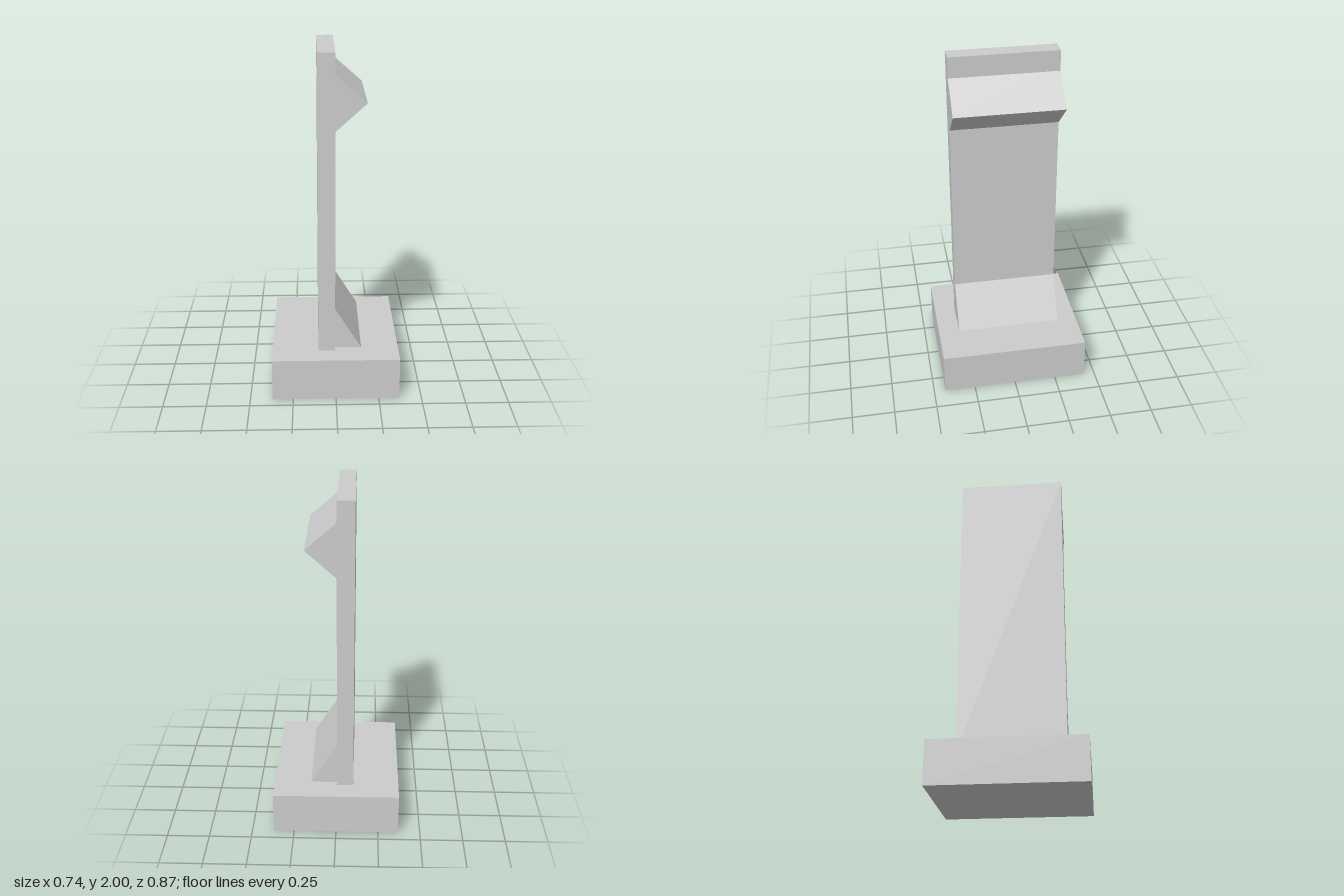
import * as THREE from 'three';

export function createModel() {
  const group = new THREE.Group();
  const grey = new THREE.MeshStandardMaterial({ color: 0xcccccc });
  grey.name = 'light grey';
  const depth = 0.62;

  const add = (name, geometry) => {
    const mesh = new THREE.Mesh(geometry, grey);
    mesh.name = name;
    group.add(mesh);
    return mesh;
  };

  // Extrudes an x-y profile along z, centred on z = 0
  const prism = (name, points) => {
    const shape = new THREE.Shape(points.map(([x, y]) => new THREE.Vector2(x, y)));
    const geometry = new THREE.ExtrudeGeometry(shape, { depth, bevelEnabled: false });
    geometry.translate(0, 0, -depth / 2);
    return add(name, geometry);
  };

  // Heavy rectangular foot
  add('base', new THREE.BoxGeometry(0.74, 0.25, 0.866)).position.y = 0.125;

  // Upright plate
  add('upright', new THREE.BoxGeometry(0.098, 1.75, depth)).position.set(-0.051, 1.125, 0);

  // Sloped brace just above the base
  prism('lowerWedge', [[-0.002, 0.27], [0.15, 0.27], [-0.002, 0.517]]);

  // Pointed ledge near the top
  prism('upperWedge', [[-0.002, 1.57], [0.172, 1.727], [-0.002, 1.88]]);

  return group;
}
